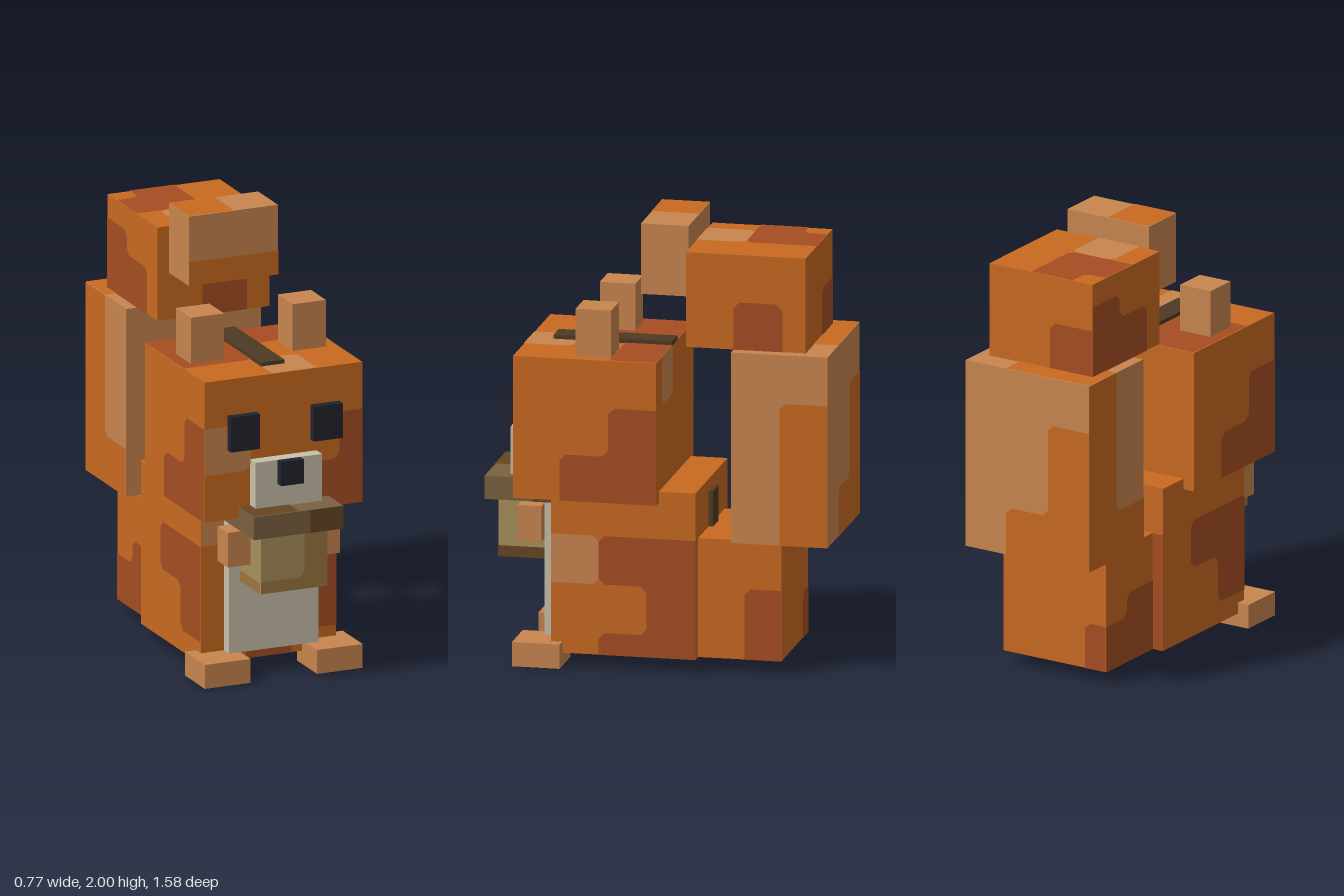
import * as THREE from 'three';

const mat = (name, color) => {
  const m = new THREE.MeshStandardMaterial({ color });
  m.name = name;
  return m;
};

const orange = mat('orangeFur', 0xc86920);
const rust = mat('rustFur', 0xa64d22);
const tan = mat('tanFur', 0xc8854e);
const cream = mat('creamFur', 0xc8c0aa);
const dark = mat('darkStripe', 0x4e3a22);
const black = mat('eyeBlack', 0x22222e);
const capLight = mat('capLight', 0x7a6040);
const capDark = mat('capDark', 0x664622);
const nutLight = mat('nutLight', 0xa8905c);
const nutDark = mat('nutDark', 0x9a7640);

// Each face: plane axes (u, v), normal axis, side, and whether u x v points inward
const FACES = {
  front: { u: 0, v: 1, n: 2, side: 1, flip: false },
  back: { u: 0, v: 1, n: 2, side: 0, flip: true },
  left: { u: 2, v: 1, n: 0, side: 1, flip: true },
  right: { u: 2, v: 1, n: 0, side: 0, flip: false },
  top: { u: 0, v: 2, n: 1, side: 1, flip: true },
  bottom: { u: 0, v: 2, n: 1, side: 0, flip: false },
};

const rect = (u0, u1, v0, v1) => [[u0, v0], [u1, v0], [u1, v1], [u0, v1]];

// Flat fur patch on one face of a box; corners inside the face are chamfered
function patch(bounds, faceName, material, points) {
  const f = FACES[faceName];
  const inside = (t, [a, b]) => t > a + 0.001 && t < b - 0.001;
  const outline = [];
  points.forEach((p, i) => {
    if (!inside(p[0], bounds[f.u]) || !inside(p[1], bounds[f.v])) {
      outline.push(new THREE.Vector2(...p));
      return;
    }
    const here = new THREE.Vector2(...p);
    for (const j of [i - 1, i + 1]) {
      const next = new THREE.Vector2(...points[(j + points.length) % points.length]);
      outline.push(here.clone().add(next.sub(here).setLength(0.027)));
    }
  });
  const geo = new THREE.ShapeGeometry(new THREE.Shape(outline));
  const pos = geo.attributes.position;
  const depth = bounds[f.n][f.side] + (f.side ? 0.003 : -0.003);
  for (let i = 0; i < pos.count; i++) {
    const c = [0, 0, 0];
    c[f.u] = pos.getX(i);
    c[f.v] = pos.getY(i);
    c[f.n] = depth;
    pos.setXYZ(i, ...c);
  }
  if (f.flip) geo.index.array.reverse();
  geo.computeVertexNormals();
  const mesh = new THREE.Mesh(geo, material);
  mesh.name = faceName + 'Patch';
  return mesh;
}

// Box from its x, y, z ranges, with optional patches [face, material, outline]
function block(name, material, x, y, z, patches = []) {
  const bounds = [x, y, z];
  const group = new THREE.Group();
  group.name = name;
  const mesh = new THREE.Mesh(new THREE.BoxGeometry(...bounds.map(([a, b]) => b - a)), material);
  mesh.position.set(...bounds.map(([a, b]) => (a + b) / 2));
  mesh.name = name + 'Block';
  group.add(mesh);
  for (const p of patches) group.add(patch(bounds, ...p));
  return group;
}

export function createModel() {
  const model = new THREE.Group();
  model.name = 'squirrel';
  const add = (...args) => model.add(block(...args));

  // Torso and haunches
  add('body', orange, [-0.325, 0.325], [0.06, 0.815], [-0.19, 0.46], [
    ['left', tan, rect(0.245, 0.46, 0.38, 0.6)],
    ['left', rust, [[-0.19, 0.06], [0.245, 0.06], [0.245, 0.16], [0.03, 0.16], [0.03, 0.38], [0.245, 0.38], [0.245, 0.6], [-0.19, 0.6]]],
    ['right', rust, [[0.245, 0.16], [0.46, 0.16], [0.46, 0.6], [0.03, 0.6], [0.03, 0.38], [0.245, 0.38]]],
    ['front', tan, rect(-0.325, -0.215, 0.6, 0.815)],
    ['front', rust, rect(0.215, 0.325, 0.16, 0.6)],
    ['front', rust, rect(-0.11, 0.11, 0.06, 0.16)],
    ['back', rust, rect(-0.325, -0.16, 0.06, 0.6)],
    ['bottom', rust, [[-0.325, 0.03], [-0.11, 0.03], [-0.11, 0.245], [0.11, 0.245], [0.11, 0.46], [-0.325, 0.46]]],
  ]);
  add('haunch', orange, [-0.27, 0.27], [0.06, 0.6], [-0.565, -0.19], [
    ['left', rust, rect(-0.565, -0.4, 0.06, 0.38)],
    ['right', rust, [[-0.565, 0.06], [-0.19, 0.06], [-0.19, 0.38], [-0.4, 0.38], [-0.4, 0.27], [-0.565, 0.27]]],
    ['back', rust, rect(-0.27, -0.16, 0.06, 0.27)],
    ['bottom', rust, rect(-0.27, 0.05, -0.4, -0.19)],
  ]);
  add('belly', cream, [-0.215, 0.215], [0.11, 0.71], [0.46, 0.515]);
  add('backStripe', dark, [-0.055, 0.055], [0.33, 0.76], [-0.21, -0.19]);

  // Head and face
  add('head', orange, [-0.38, 0.38], [0.765, 1.41], [-0.025, 0.62], [
    ['front', tan, rect(-0.38, -0.16, 0.98, 1.195)],
    ['front', rust, [[0.16, 0.765], [0.38, 0.765], [0.38, 1.195], [0.27, 1.195], [0.27, 0.98], [0.16, 0.98]]],
    ['left', rust, [[-0.025, 0.765], [0.41, 0.765], [0.41, 0.975], [0.19, 0.975], [0.19, 1.195], [-0.025, 1.195]]],
    ['right', rust, [[0.19, 0.765], [0.62, 0.765], [0.62, 1.195], [0.41, 1.195], [0.41, 0.975], [0.19, 0.975]]],
    ['top', rust, [[-0.38, -0.025], [0.38, -0.025], [0.38, 0.185], [-0.05, 0.185], [-0.05, 0.4], [-0.38, 0.4]]],
    ['top', tan, rect(-0.055, 0.16, 0.4, 0.62)],
    ['back', tan, rect(0.05, 0.27, 1.195, 1.41)],
  ]);
  add('headStripe', dark, [-0.055, 0.055], [1.41, 1.43], [-0.025, 0.51]);
  add('muzzle', cream, [-0.16, 0.16], [0.765, 1.03], [0.62, 0.68]);
  add('nose', black, [-0.055, 0.055], [0.92, 1.03], [0.68, 0.72]);

  // Paired parts
  for (const [side, s] of [['left', 1], ['right', -1]]) {
    const span = (a, b) => (s > 0 ? [a, b] : [-b, -a]);
    add(side + 'Ear', tan, span(0.165, 0.325), [1.41, 1.625], [0.19, 0.35]);
    add(side + 'Eye', black, span(0.13, 0.27), [1.085, 1.245], [0.62, 0.66]);
    add(side + 'Arm', tan, span(0.16, 0.27), [0.545, 0.705], [0.515, 0.625]);
    add(side + 'Foot', tan, span(0.16, 0.38), [0, 0.11], [0.41, 0.625]);
  }

  // Acorn
  add('acornCap', capLight, [-0.215, 0.215], [0.71, 0.815], [0.46, 0.785], [
    ['front', capDark, rect(0.055, 0.215, 0.71, 0.815)],
    ['left', capDark, rect(0.46, 0.57, 0.71, 0.815)],
    ['top', capDark, rect(-0.215, 0, 0.46, 0.785)],
  ]);
  add('acornNut', nutLight, [-0.16, 0.16], [0.44, 0.71], [0.515, 0.735], [
    ['front', nutDark, [[-0.16, 0.44], [0.16, 0.44], [0.16, 0.71], [0.05, 0.71], [0.05, 0.495], [-0.16, 0.495]]],
    ['left', capDark, rect(0.515, 0.735, 0.44, 0.49)],
    ['right', nutDark, rect(0.515, 0.735, 0.44, 0.49)],
    ['bottom', capDark, rect(-0.16, 0.16, 0.515, 0.735)],
  ]);

  // Tail, rising and curling forward
  add('tailMiddle', tan, [-0.325, 0.325], [0.6, 1.465], [-0.785, -0.35], [
    ['left', orange, rect(-0.785, -0.57, 0.6, 1.245)],
    ['right', orange, [[-0.785, 0.6], [-0.35, 0.6], [-0.35, 0.82], [-0.57, 0.82], [-0.57, 1.465], [-0.785, 1.465]]],
    ['back', orange, [[-0.325, 0.6], [0.11, 0.6], [0.11, 0.82], [-0.11, 0.82], [-0.11, 1.245], [-0.325, 1.245]]],
    ['top', orange, [[-0.325, -0.785], [0.11, -0.785], [0.11, -0.35], [-0.16, -0.35], [-0.16, -0.57], [-0.325, -0.57]]],
  ]);
  add('tailUpper', orange, [-0.27, 0.27], [1.465, 1.895], [-0.675, -0.135], [
    ['front', rust, rect(-0.055, 0.16, 1.465, 1.68)],
    ['left', rust, rect(-0.57, -0.35, 1.465, 1.68)],
    ['right', rust, [[-0.675, 1.465], [-0.24, 1.465], [-0.24, 1.68], [-0.46, 1.68], [-0.46, 1.79], [-0.675, 1.79]]],
    ['back', rust, rect(-0.27, -0.05, 1.465, 1.68)],
    ['top', rust, [[-0.165, -0.675], [0.05, -0.675], [0.05, -0.355], [-0.27, -0.355], [-0.27, -0.57], [-0.165, -0.57]]],
    ['top', tan, rect(-0.165, 0.05, -0.355, -0.135)],
  ]);
  add('tailTip', tan, [-0.215, 0.215], [1.68, 2], [-0.135, 0.08], [
    ['front', orange, rect(-0.215, 0.215, 1.68, 1.79)],
    ['top', orange, rect(-0.215, 0, -0.135, 0.08)],
  ]);

  return model;
}
